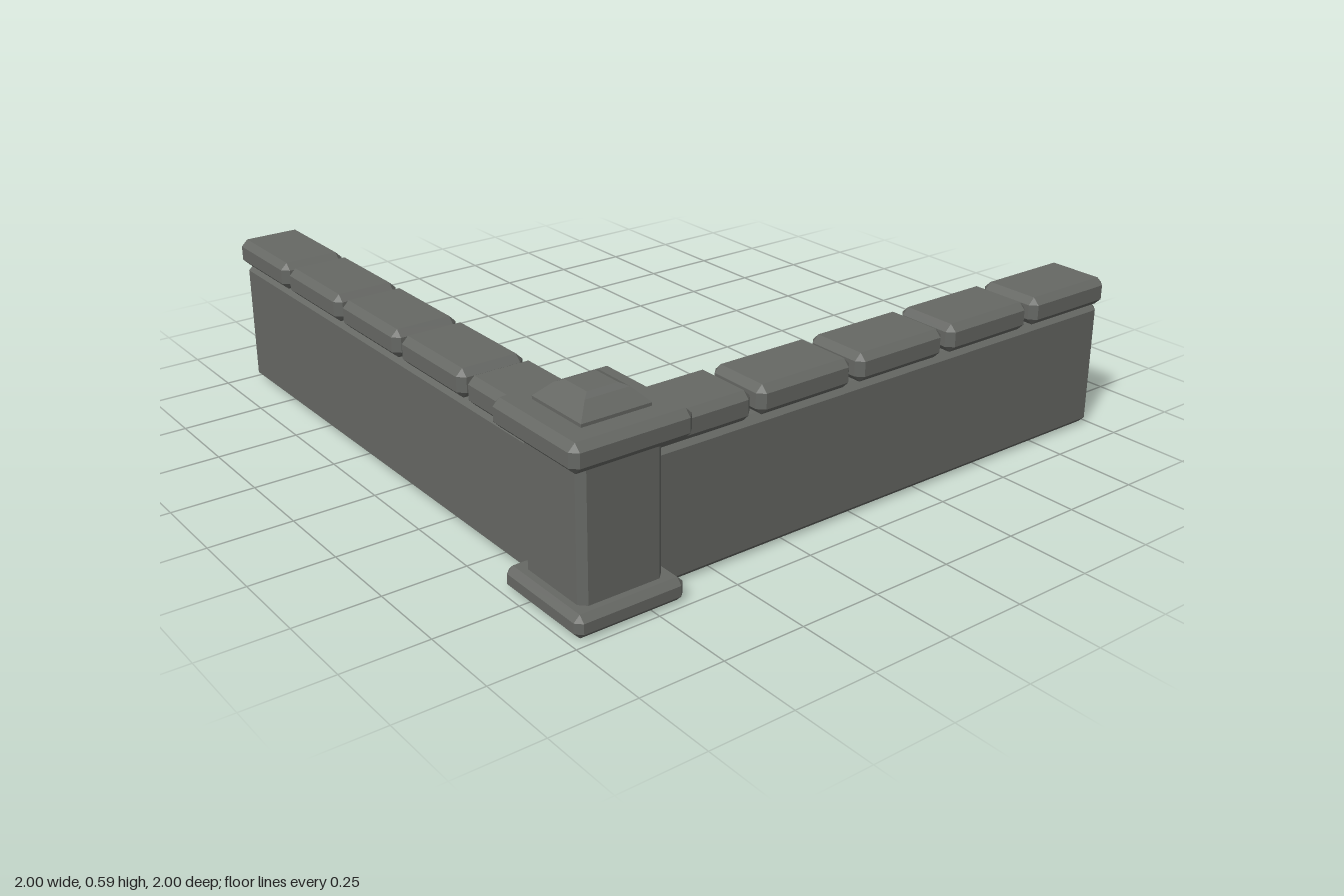
import * as THREE from 'three';
import { ConvexGeometry } from 'three/addons/geometries/ConvexGeometry.js';

const stone = new THREE.MeshStandardMaterial({ color: 0x666864 });
stone.name = 'greyStone';

const CORNER = 0.816; // x and z of the corner pillar
const AXIS = 0.813;   // centre line of each wall

// Box with every edge chamfered, given by its minimum and maximum corners
function chamferedBox(name, min, max, bevel = 0.02) {
  const half = min.map((v, i) => (max[i] - v) / 2);
  const points = [];
  for (const sx of [-1, 1]) for (const sy of [-1, 1]) for (const sz of [-1, 1]) {
    for (let full = 0; full < 3; full++) {
      const [x, y, z] = half.map((h, i) => (i === full ? h : h - bevel));
      points.push(new THREE.Vector3(sx * x, sy * y, sz * z));
    }
  }
  const mesh = new THREE.Mesh(new ConvexGeometry(points), stone);
  mesh.name = name;
  mesh.position.set(...min.map((v, i) => (v + max[i]) / 2));
  return mesh;
}

// Square block centred on the pillar
function pillarBlock(name, half, y0, y1, bevel) {
  return chamferedBox(name, [CORNER - half, y0, CORNER - half], [CORNER + half, y1, CORNER + half], bevel);
}

// Wall along x (or along z) with a row of coping stones
function createWall(name, alongZ) {
  const wall = new THREE.Group();
  wall.name = name;
  const block = (part, a0, a1, y0, y1, half) => {
    const lo = AXIS - half, hi = AXIS + half;
    wall.add(alongZ
      ? chamferedBox(part, [lo, y0, a0], [hi, y1, a1])
      : chamferedBox(part, [a0, y0, lo], [a1, y1, hi]));
  };
  block('wallBody', -1, 0.75, 0, 0.396, 0.086);
  for (let i = 0; i < 5; i++) {
    const start = -1 + i * 0.346;
    block('copingStone' + (i + 1), start, start + 0.325, 0.396, 0.48, 0.103);
  }
  return wall;
}

// Low hipped top, stacked from square rings [half width, height]
function createFinial() {
  const points = [];
  for (const [h, y] of [[0.104, 0.525], [0.104, 0.539], [0.066, 0.578], [0.046, 0.587]]) {
    for (const sx of [-1, 1]) for (const sz of [-1, 1]) points.push(new THREE.Vector3(sx * h, y, sz * h));
  }
  const mesh = new THREE.Mesh(new ConvexGeometry(points), stone);
  mesh.name = 'pillarFinial';
  mesh.position.set(CORNER, 0, CORNER);
  return mesh;
}

export function createModel() {
  const model = new THREE.Group();
  model.name = 'cornerWall';

  const pillar = new THREE.Group();
  pillar.name = 'cornerPillar';
  pillar.add(
    pillarBlock('pillarBase', 0.166, 0, 0.066, 0.018),
    pillarBlock('pillarShaft', 0.128, 0.03, 0.47, 0.02),
    pillarBlock('pillarCap', 0.181, 0.45, 0.53, 0.02),
    createFinial()
  );

  model.add(pillar, createWall('frontWall', false), createWall('sideWall', true));
  return model;
}
